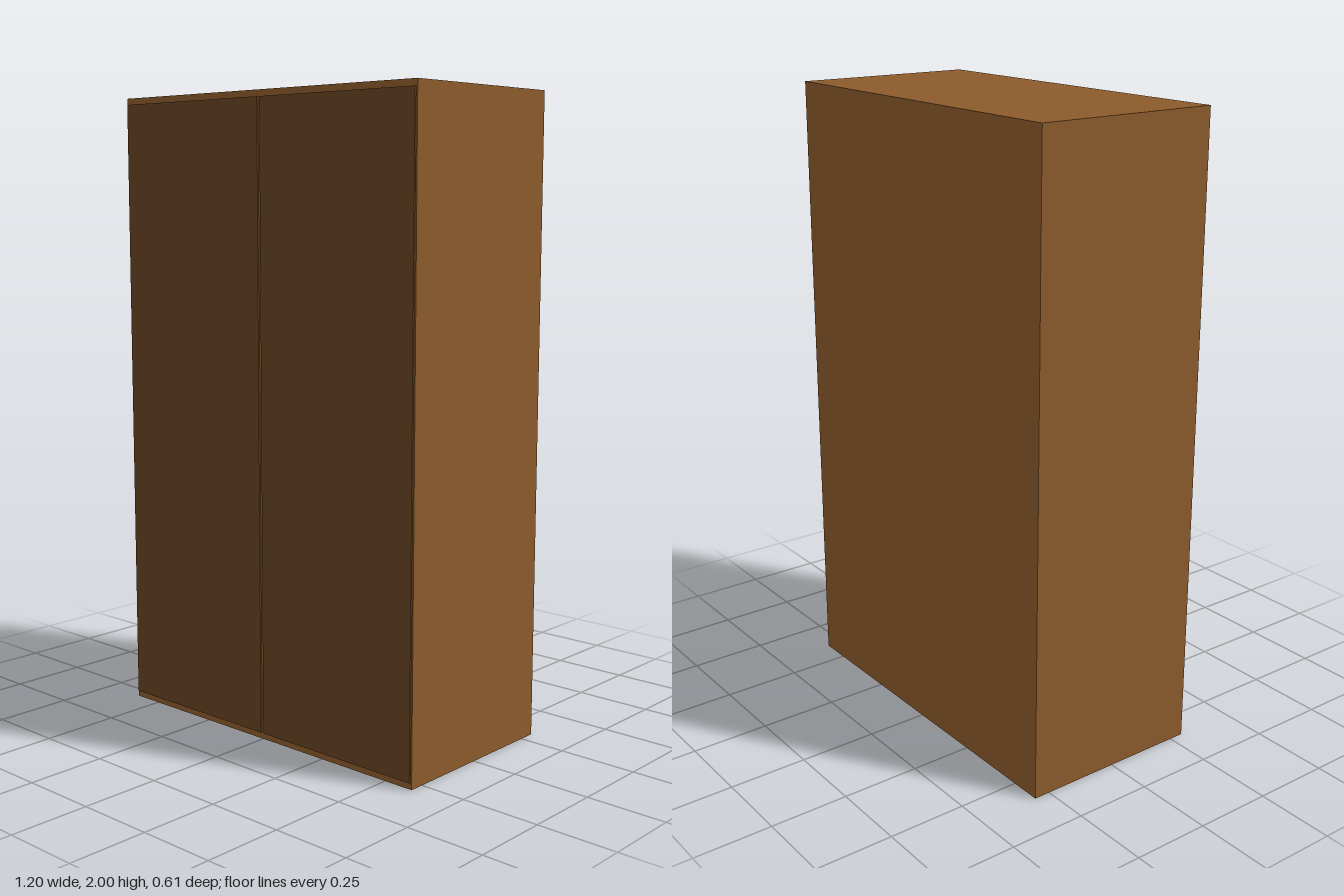
import * as THREE from 'three';

const bodyMaterial = new THREE.MeshStandardMaterial({ color: 0x8b5a2b });
const doorMaterial = new THREE.MeshStandardMaterial({ color: 0x654321 });

function box(name, size, position, material) {
  const mesh = new THREE.Mesh(new THREE.BoxGeometry(...size), material);
  mesh.name = name;
  mesh.position.set(...position);
  return mesh;
}

export function createModel() {
  const model = new THREE.Group();
  model.name = 'wardrobe';

  // Cabinet body, set back so that body and doors together are centred
  model.add(box('cabinetBody', [1.2, 2, 0.6], [0, 1, -0.0025], bodyMaterial));

  // Pair of doors, slightly proud of the body with a narrow gap between them
  for (const side of [1, -1]) {
    const name = side > 0 ? 'leftDoor' : 'rightDoor';
    model.add(box(name, [0.59, 1.96, 0.02], [side * 0.3, 1, 0.2925], doorMaterial));
  }

  return model;
}
